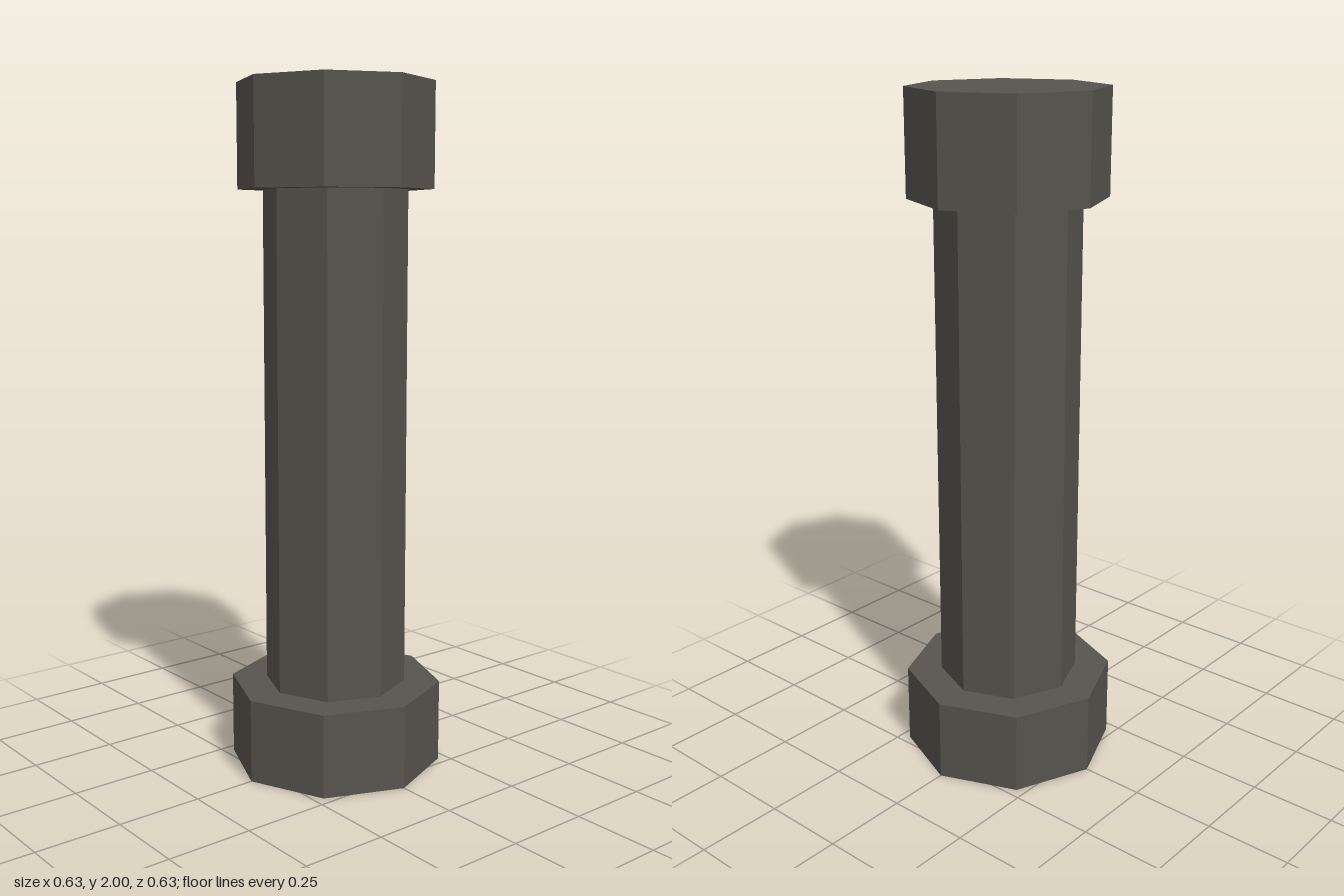
import * as THREE from 'three';

export function createModel() {
  const group = new THREE.Group();
  group.name = 'column';

  const stone = new THREE.MeshStandardMaterial({ color: 0x57534e, flatShading: true });
  stone.name = 'dark stone';

  // Octagonal drum spanning bottom..top, with a corner facing the front
  function addDrum(name, radius, bottom, top) {
    const geometry = new THREE.CylinderGeometry(radius, radius, top - bottom, 8);
    const mesh = new THREE.Mesh(geometry, stone);
    mesh.name = name;
    mesh.position.y = (bottom + top) / 2;
    group.add(mesh);
  }

  addDrum('base', 0.314, 0, 0.245);
  addDrum('shaft', 0.209, 0.245, 1.7);
  addDrum('capital', 0.283, 1.7, 2);

  return group;
}
